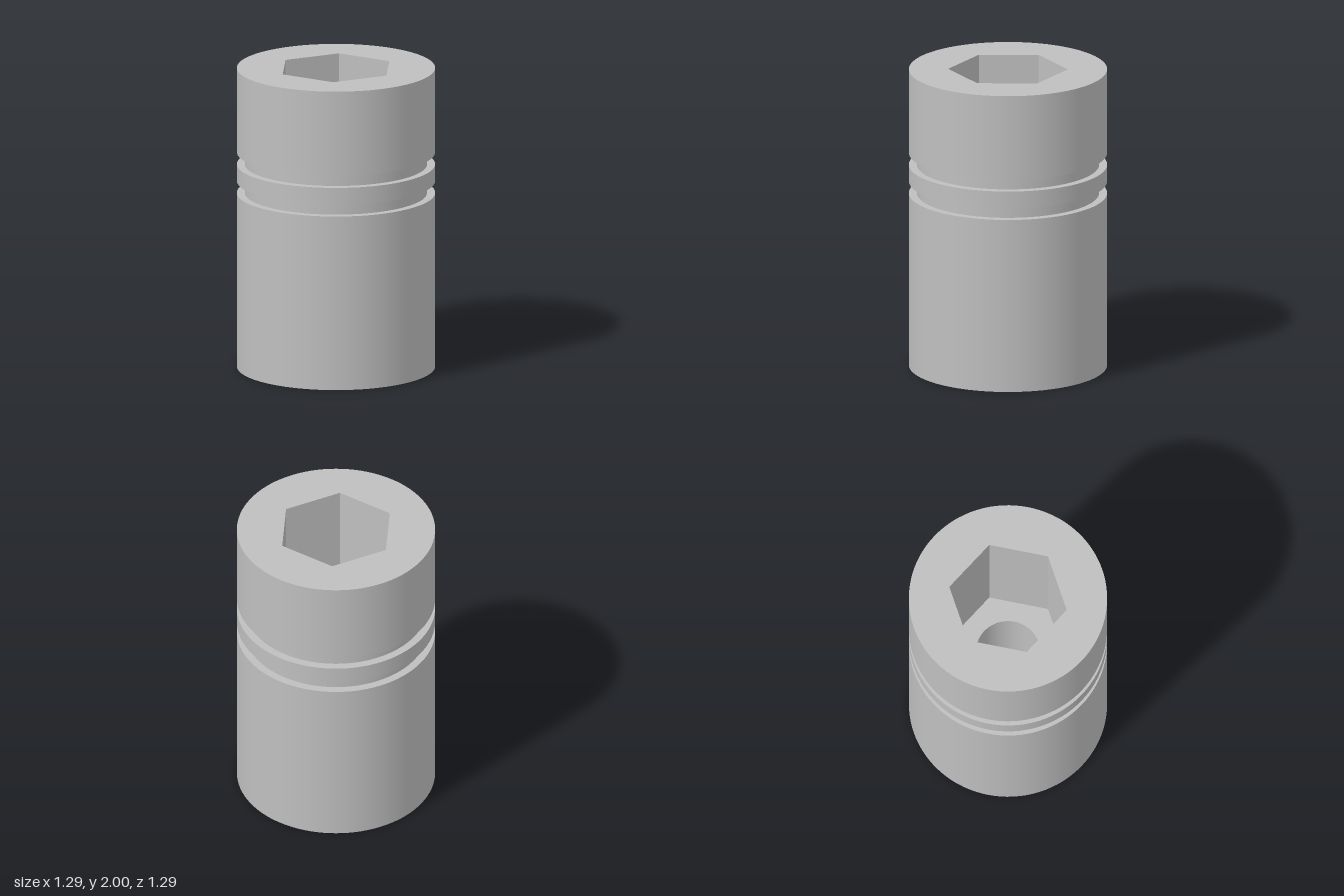
import * as THREE from 'three';
import { mergeGeometries } from 'three/addons/utils/BufferGeometryUtils.js';

const SEG = 96;
const R = 0.645, GROOVE_R = 0.593, HOLE_R = 0.207, HEX_R = 0.39;
const HEIGHT = 2, SOCKET_FLOOR = 1.0;

// Revolve a polyline with a hard edge at every corner
function turned(points) {
  const bands = [];
  for (let i = 0; i < points.length - 1; i++) {
    const pair = [points[i], points[i + 1]].map(([r, y]) => new THREE.Vector2(r, y));
    bands.push(new THREE.LatheGeometry(pair, SEG));
  }
  return mergeGeometries(bands);
}

// Points of a regular polygon with a corner on +x
function polygon(radius, sides) {
  return Array.from({ length: sides }, (_, i) => {
    const a = (i / sides) * Math.PI * 2;
    return new THREE.Vector2(radius * Math.cos(a), radius * Math.sin(a));
  });
}

// Flat upward face with an opening, at height y
function plate(outer, inner, y) {
  const shape = new THREE.Shape(outer);
  shape.holes.push(new THREE.Path(inner));
  return new THREE.ShapeGeometry(shape).rotateX(-Math.PI / 2).translate(0, y, 0);
}

export function createModel() {
  const steel = new THREE.MeshStandardMaterial({ color: 0xbfbfbf });
  steel.name = 'plain grey metal';
  const group = new THREE.Group();
  group.name = 'grooved socket sleeve';
  const add = (name, geometry) => {
    const mesh = new THREE.Mesh(geometry, steel);
    mesh.name = name;
    group.add(mesh);
  };

  // Outer wall with two square grooves
  const outside = [[R, 0]];
  for (const [low, high] of [[1.163, 1.243], [1.355, 1.435]]) {
    outside.push([R, low], [GROOVE_R, low], [GROOVE_R, high], [R, high]);
  }
  outside.push([R, HEIGHT]);
  add('groovedOuterWall', turned(outside));

  // Through hole, two stepped counterbores and the bottom rim
  add('steppedBore', turned([
    [HOLE_R, SOCKET_FLOOR], [HOLE_R, 0.365], [0.398, 0.365],
    [0.398, 0.16], [0.503, 0.16], [0.503, 0], [R, 0],
  ]));

  // Top face with the hexagonal opening
  add('topFace', plate(polygon(R, SEG), polygon(HEX_R, 6), HEIGHT));

  // Hexagonal socket: inward-facing walls and a floor around the hole
  const depth = HEIGHT - SOCKET_FLOOR;
  const walls = new THREE.CylinderGeometry(HEX_R, HEX_R, depth, 6, 1, true)
    .rotateY(Math.PI / 2).scale(-1, 1, 1)
    .translate(0, SOCKET_FLOOR + depth / 2, 0).toNonIndexed();
  walls.computeVertexNormals();
  add('hexSocketWalls', walls);
  add('hexSocketFloor', plate(polygon(HEX_R, 6), polygon(HOLE_R, SEG), SOCKET_FLOOR));

  return group;
}
